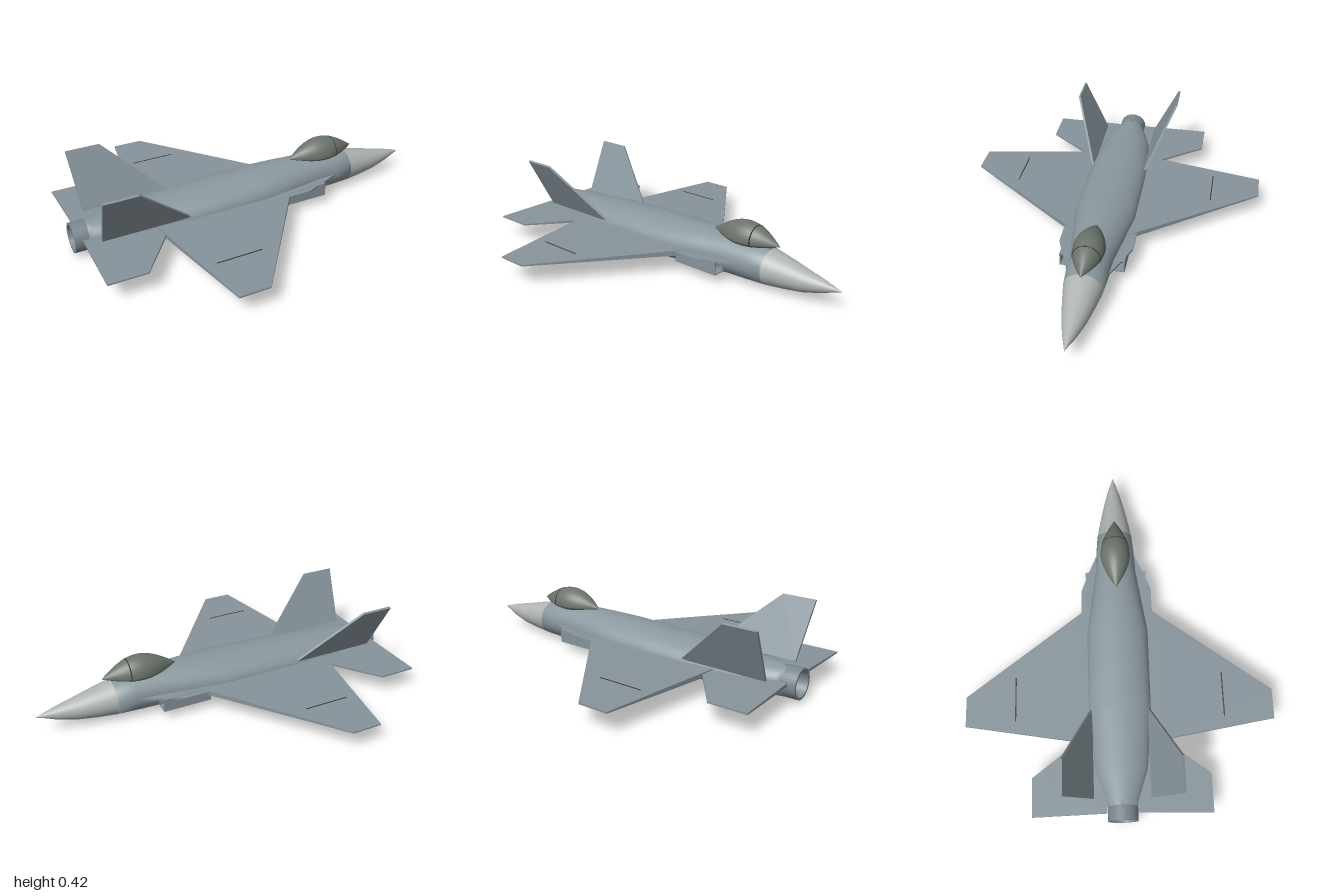
import * as THREE from 'three';

const mat = (color, extra = {}) => new THREE.MeshStandardMaterial({ color, ...extra });
const skinGrey = mat(0x8b989f);
const plateGrey = mat(0x87939b, { flatShading: true });
const noseGrey = mat(0xb0b5b2);
const glass = mat(0x6c746c);
const dark = mat(0x3c4245, { side: THREE.DoubleSide });
const nozzleGrey = mat(0x7c888f, { side: THREE.DoubleSide, flatShading: true });

// Skin a row of closed rings, with optional flat end caps
function loft(rings, caps = true) {
  const n = rings[0].length, idx = [];
  for (let i = 0; i < rings.length - 1; i++) {
    for (let j = 0; j < n; j++) {
      const a = i * n + j, b = i * n + (j + 1) % n;
      idx.push(a, b, a + n, b, b + n, a + n);
    }
  }
  const last = (rings.length - 1) * n;
  for (let j = 1; caps && j < n - 1; j++) idx.push(0, j + 1, j, last, last + j, last + j + 1);
  const g = new THREE.BufferGeometry();
  g.setAttribute('position', new THREE.Float32BufferAttribute(rings.flat(2), 3));
  g.setIndex(idx);
  g.computeVertexNormals();
  return g;
}

// Elliptical ring across x: half width, bottom and top height
function ellipse([x, w, lo, hi]) {
  const mid = (lo + hi) / 2, r = (hi - lo) / 2;
  return Array.from({ length: 36 }, (_, j) => {
    const a = (j / 36) * Math.PI * 2;
    return [x, mid + r * Math.cos(a), w * Math.sin(a)];
  });
}

// Four-cornered plate section: leading x, trailing x, y, z, half thickness
const section = (le, te, y, z, t, ny = 1, nz = 0) => [
  [le, y + t * ny, z + t * nz], [te, y + t * ny, z + t * nz],
  [te, y - t * ny, z - t * nz], [le, y - t * ny, z - t * nz],
];

// Copy an indexed geometry to the other side, keeping faces outward
function mirrored(geo) {
  const g = geo.clone().scale(1, 1, -1);
  const ix = g.index;
  for (let i = 0; i < ix.count; i += 3) {
    const b = ix.getX(i + 1);
    ix.setX(i + 1, ix.getX(i + 2));
    ix.setX(i + 2, b);
  }
  g.computeVertexNormals();
  return g;
}

export function createModel() {
  const model = new THREE.Group();
  const add = (name, geo, material) => {
    const m = new THREE.Mesh(geo, material);
    m.name = name;
    model.add(m);
  };
  const addPair = (name, geo, material) => {
    add(name + 'Right', geo, material);
    add(name + 'Left', mirrored(geo), material);
  };

  // Fuselage
  add('fuselage', loft([
    [-0.93, 0.077, 0.02, 0.175],
    [-0.9, 0.085, 0.018, 0.177],
    [-0.74, 0.14, 0.011, 0.185],
    [-0.43, 0.168, 0.007, 0.203],
    [-0.2, 0.168, 0.004, 0.211],
    [0.02, 0.168, 0, 0.22],
    [0.2, 0.14, 0.005, 0.224],
    [0.38, 0.113, 0.011, 0.222],
    [0.5, 0.107, 0.013, 0.215],
    [0.6, 0.099, 0.016, 0.203],
  ].map(ellipse)), skinGrey);

  // Nose cone
  add('noseCone', loft([
    [0.6, 0.099, 0.016, 0.203],
    [0.7, 0.081, 0.025, 0.179],
    [0.8, 0.06, 0.038, 0.154],
    [0.9, 0.034, 0.064, 0.131],
    [0.96, 0.014, 0.087, 0.114],
    [1, 0.0005, 0.0995, 0.1005],
  ].map(ellipse), false), noseGrey);

  // Exhaust nozzle, open at the rear
  const nozzle = new THREE.LatheGeometry([
    [0, 0.06], [0.06, 0.06], [0.066, 0], [0.078, 0], [0.078, 0.05], [0.077, 0.1],
  ].map(([r, y]) => new THREE.Vector2(r, y)), 36);
  nozzle.rotateZ(-Math.PI / 2).translate(-1, 0.098, 0);
  add('exhaustNozzle', nozzle, nozzleGrey);

  // Canopy: a pointed lens, flatter below, with a thin frame hoop
  const canopyRing = (x, grow = 0) => {
    const k = Math.cos(Math.PI / 2 * Math.min(1, Math.abs((x - 0.445) / 0.205)));
    return Array.from({ length: 32 }, (_, j) => {
      const a = (j / 32) * Math.PI * 2, c = Math.cos(a);
      return [x, 0.226 + c * ((c > 0 ? 0.089 : 0.036) * k + grow), Math.sin(a) * (0.082 * k + grow)];
    });
  };
  add('canopy', loft(Array.from({ length: 21 }, (_, i) => canopyRing(0.24 + 0.0205 * i)), false), glass);
  add('canopyFrame', loft([canopyRing(0.508, 0.001), canopyRing(0.513, 0.001)]), dark);

  // Main wings
  addPair('wing', loft([
    section(0.207, -0.608, 0.11, 0.1, 0.015),
    section(0.11, -0.587, 0.11, 0.23, 0.013),
    section(-0.33, -0.49, 0.11, 0.82, 0.004),
  ]), plateGrey);

  // Leading-edge strakes in front of the wing roots
  addPair('strake', loft([
    section(0.54, 0, 0.116, 0.08, 0.006),
    section(0.5, 0, 0.116, 0.1, 0.006),
    section(0.36, 0, 0.115, 0.16, 0.006),
    section(0.27, 0, 0.114, 0.194, 0.005),
    section(0.16, 0, 0.114, 0.196, 0.005),
  ]), plateGrey);

  // Rails on the wings
  addPair('wingRail', new THREE.BoxGeometry(0.24, 0.016, 0.006).translate(-0.35, 0.112, 0.555), dark);

  // Horizontal tailplanes
  addPair('tailplane', loft([
    section(-0.48, -0.96, 0.11, 0.08, 0.009),
    section(-0.77, -0.97, 0.11, 0.465, 0.004),
  ]), plateGrey);

  // Canted vertical fins
  addPair('tailFin', loft([
    section(-0.42, -0.888, 0.137, 0.152, 0.006, 0.46, -0.89),
    section(-0.73, -0.908, 0.422, 0.295, 0.006, 0.46, -0.89),
  ]), plateGrey);

  // Air intakes: a rectangular duct with a dark mouth
  const rect = (s, w, h) => s.moveTo(-w, -h).lineTo(w, -h).lineTo(w, h).lineTo(-w, h).closePath();
  const duct = rect(new THREE.Shape(), 0.034, 0.036);
  duct.holes.push(rect(new THREE.Path(), 0.028, 0.03));
  const intake = new THREE.ExtrudeGeometry(duct, { depth: 0.265, bevelEnabled: false });
  intake.rotateY(Math.PI / 2).translate(0.115, 0.086, 0);
  const plug = new THREE.BoxGeometry(0.2, 0.06, 0.056).translate(0.217, 0.086, 0);
  for (const [side, z] of [['Right', 0.136], ['Left', -0.136]]) {
    add('intake' + side, intake.clone().translate(0, 0, z), plateGrey);
    add('intakeDuct' + side, plug.clone().translate(0, 0, z), dark);
  }
  return model;
}
